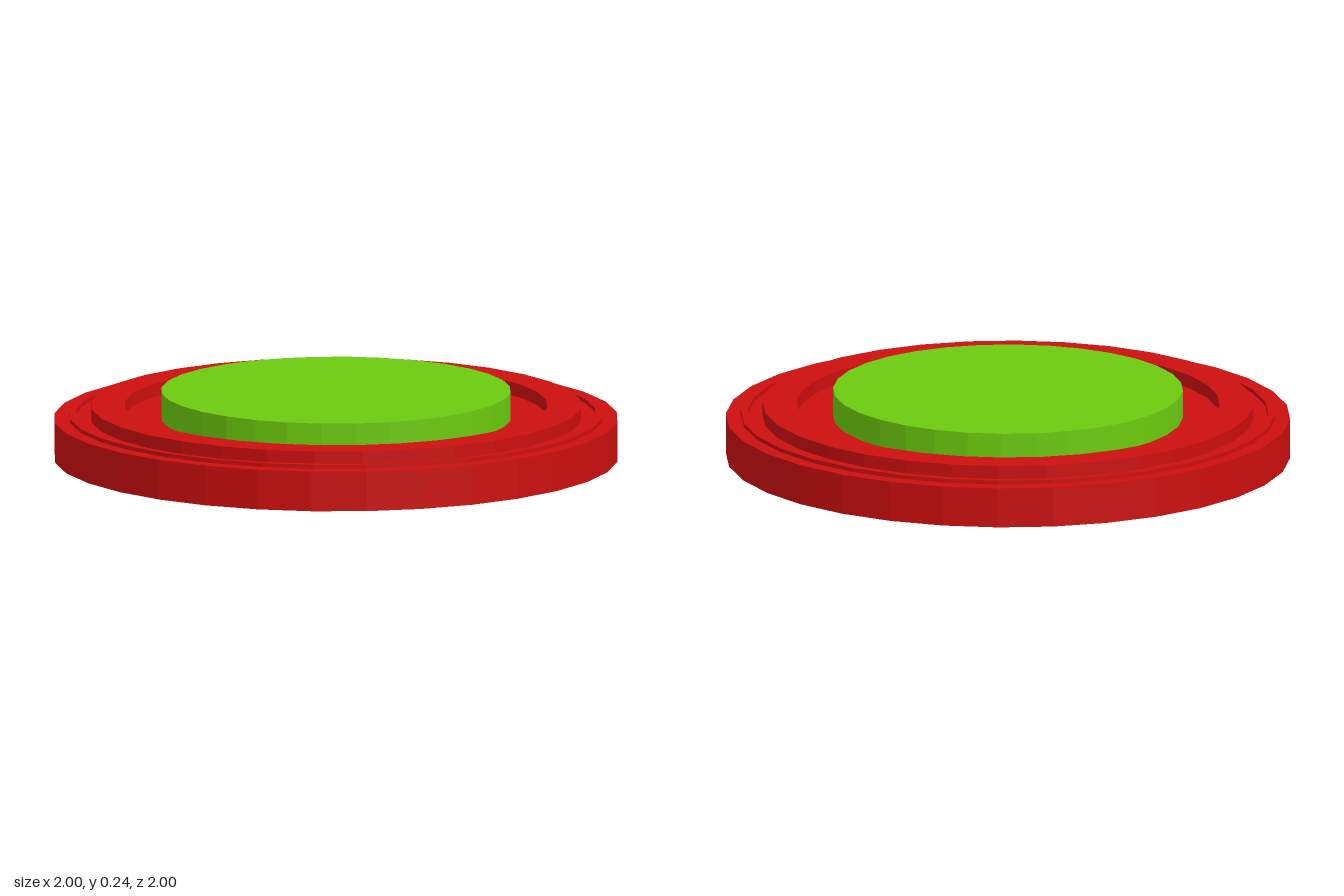
import * as THREE from 'three';

const SIDES = 32;

// Faceted turned part from [radius, height] pairs, listed bottom to top
function turned(name, profile, color) {
  const points = profile.map(([r, y]) => new THREE.Vector2(r, y));
  const material = new THREE.MeshStandardMaterial({ color, flatShading: true });
  const mesh = new THREE.Mesh(new THREE.LatheGeometry(points, SIDES), material);
  mesh.name = name;
  return mesh;
}

export function createModel() {
  const group = new THREE.Group();
  group.name = 'roundButton';

  const floor = 0.143, ridge = 0.157, collar = 0.19, top = 0.242;

  // Base disc with a thin outer ridge, a raised collar and a recessed well
  group.add(turned('base', [
    [0, 0], [1, 0], [1, floor],
    [0.947, floor], [0.947, ridge], [0.923, ridge], [0.923, floor],
    [0.87, floor], [0.87, collar], [0.75, collar], [0.75, floor],
    [0, floor],
  ], 0xcc0e0e));

  // Push cap standing in the well
  group.add(turned('cap', [
    [0.62, floor], [0.62, top], [0, top],
  ], 0x6cca0e));

  return group;
}
